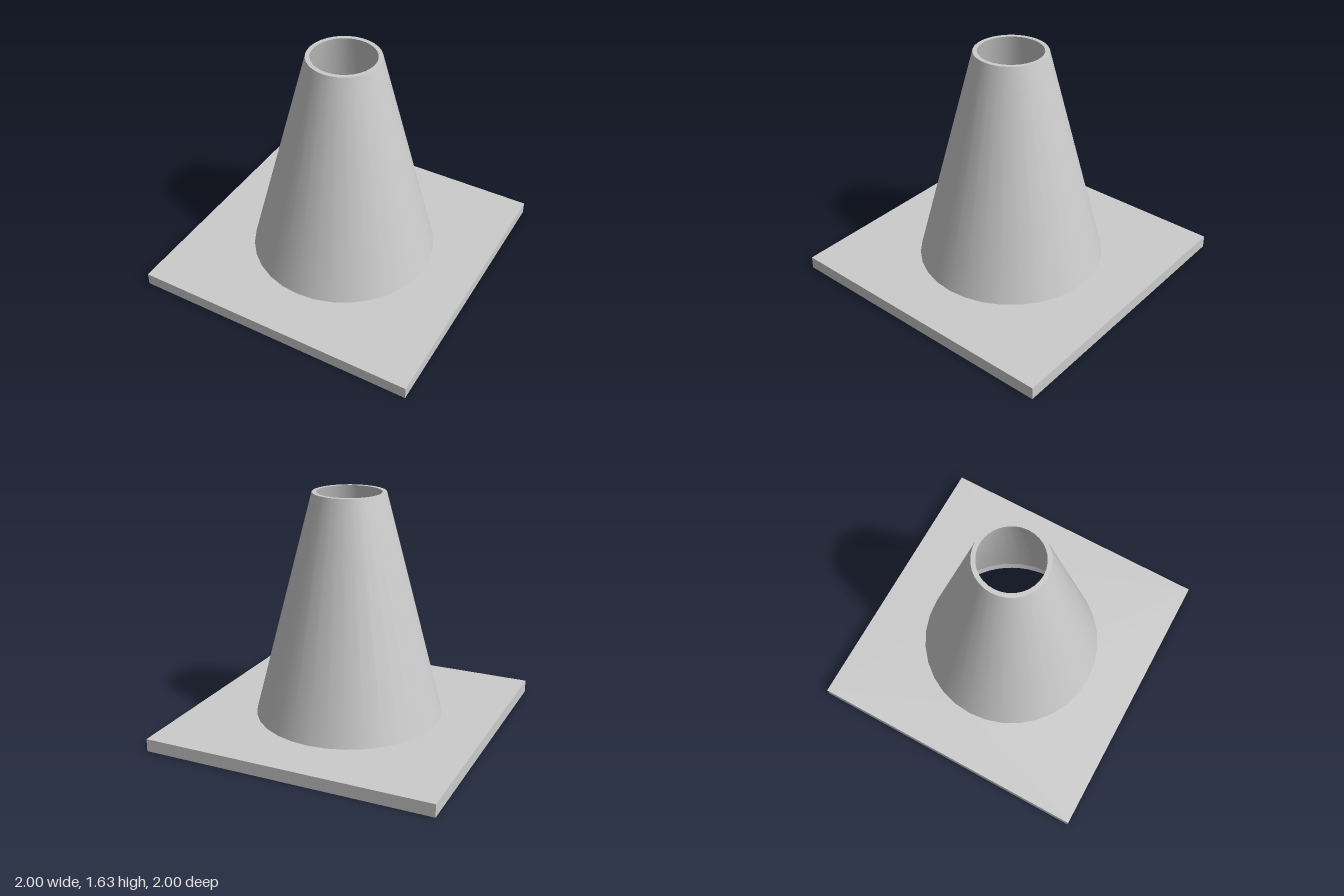
import * as THREE from 'three';
import { toCreasedNormals } from 'three/addons/utils/BufferGeometryUtils.js';

const SIDES = 32;
const PLATE_HEIGHT = 0.087;
const TOP = 1.626;
const HOLE = 0.613;

export function createModel() {
  const group = new THREE.Group();
  group.name = 'trafficCone';
  const material = new THREE.MeshStandardMaterial({ color: 0xcccccc });

  const add = (name, geometry, parent = group) => {
    const mesh = new THREE.Mesh(geometry, material);
    mesh.name = name;
    parent.add(mesh);
    return mesh;
  };

  // Square base plate with a round hole through it
  const square = new THREE.Shape([[-1, -1], [1, -1], [1, 1], [-1, 1]].map(([x, y]) => new THREE.Vector2(x, y)));
  square.holes.push(new THREE.Path().absarc(0, 0, HOLE, 0, Math.PI * 2, true));
  const plate = new THREE.ExtrudeGeometry(square, { depth: PLATE_HEIGHT, bevelEnabled: false, curveSegments: SIDES });
  plate.rotateX(-Math.PI / 2);
  add('basePlate', toCreasedNormals(plate, 0.5));

  // Hollow cone: each wall is its own lathe so the rim edges stay sharp
  const cone = new THREE.Group();
  cone.name = 'cone';
  group.add(cone);
  const profile = [[0.646, PLATE_HEIGHT], [0.247, TOP], [0.217, TOP], [HOLE, PLATE_HEIGHT]]
    .map(([r, y]) => new THREE.Vector2(r, y));
  ['outerWall', 'topRim', 'innerWall'].forEach((name, i) => {
    add(name, new THREE.LatheGeometry(profile.slice(i, i + 2), SIDES), cone);
  });

  return group;
}
